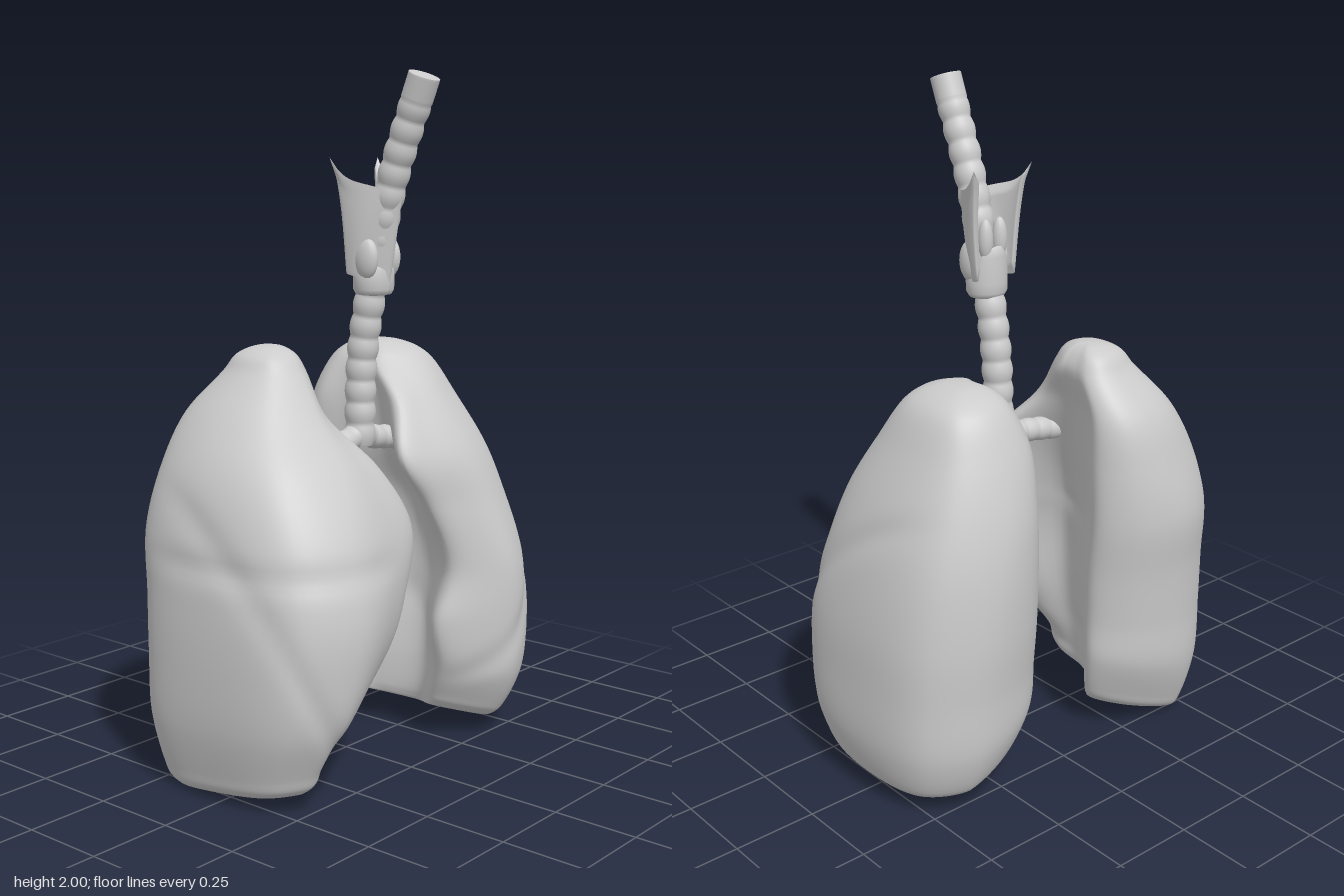
import * as THREE from 'three';

const V = (x, y, z) => new THREE.Vector3(x, y, z);
const { lerp, smoothstep } = THREE.MathUtils;
const material = new THREE.MeshStandardMaterial({ color: 0xcccccc, roughness: 0.7 });

function part(name, geometry) {
  const mesh = new THREE.Mesh(geometry, material);
  mesh.name = name;
  return mesh;
}

// Skin over closed rings of equal size, with faces turned outwards
function skin(rings) {
  const n = rings[0].length, pts = rings.flat(), index = [];
  for (let i = 0; i < rings.length - 1; i++)
    for (let j = 0; j < n; j++) {
      const k = (j + 1) % n, a = i * n + j, b = i * n + k, c = a + n, d = b + n;
      index.push(a, b, c, b, d, c);
    }
  const centre = pts.reduce((s, p) => s.add(p), V(0, 0, 0)).divideScalar(pts.length);
  let volume = 0;
  for (let i = 0; i < index.length; i += 3) {
    const [a, b, c] = [0, 1, 2].map(k => pts[index[i + k]].clone().sub(centre));
    volume += a.dot(b.cross(c));
  }
  if (volume < 0) index.reverse();
  const g = new THREE.BufferGeometry().setFromPoints(pts);
  g.setIndex(index);
  g.computeVertexNormals();
  return g;
}

// Tube along a curve with a varying radius and flat ends
function pipe(curve, steps, radius, sides = 28) {
  const frames = curve.computeFrenetFrames(steps);
  const rings = [];
  const ring = (i, r) => Array.from({ length: sides }, (_, j) => {
    const a = j / sides * Math.PI * 2;
    return curve.getPointAt(i / steps)
      .addScaledVector(frames.normals[i], Math.cos(a) * r)
      .addScaledVector(frames.binormals[i], Math.sin(a) * r);
  });
  rings.push(ring(0, 0), ring(0, radius(0) * 0.98));
  for (let i = 0; i <= steps; i++) rings.push(ring(i, radius(i / steps)));
  rings.push(ring(steps, radius(1) * 0.98), ring(steps, 0));
  return skin(rings);
}

// Horizontal lung section: rounded outside, hollow towards the middle
function section([y, xo, xf, zf, xi, zt, xr, xn, zb]) {
  const zc = (zf + zb) / 2;
  const corners = [
    V(xi, y, zt),
    V(lerp(xi, xf, 0.42), y, lerp(zt, zf, 0.68)),
    V(xf, y, zf),
    V(lerp(xf, xo, 0.76), y, lerp(zc, zf, 0.74)),
    V(xo, y, zc),
    V(lerp(xf, xo, 0.76), y, lerp(zc, zb, 0.74)),
    V(xf, y, zb),
    V(lerp(xr, xf, 0.3), y, lerp(zc, zb, 0.9)),
    V(xr, y, lerp(zc, zb, 0.62)),
    V(lerp(xr, xn, 0.65), y, lerp(zc, zb, 0.2)),
    V(xn, y, lerp(zc, zt, 0.35)),
  ];
  const curve = new THREE.CatmullRomCurve3(corners, true);
  return Array.from({ length: 88 }, (_, i) => curve.getPoint(i / 88));
}

function shrink(ring, s, y) {
  const c = ring.reduce((a, p) => a.add(p), V(0, 0, 0)).divideScalar(ring.length);
  return ring.map(p => V(lerp(c.x, p.x, s), y, lerp(c.z, p.z, s)));
}

function lung(name, side, { rows, top, base, mid, tilt, fissures }) {
  const rings = rows.map(section);
  const first = rings[0], last = rings[rings.length - 1];
  rings.unshift(shrink(first, 0, top), shrink(first, 0.38, top - 0.006), shrink(first, 0.74, top - 0.028));
  rings.push(shrink(last, 0.93, base + 0.018), shrink(last, 0.8, base), shrink(last, 0.45, base + 0.02), shrink(last, 0, base + 0.04));
  const columns = first.map((_, j) => new THREE.CatmullRomCurve3(rings.map(r => r[j])));
  const steps = 120, smooth = [];
  for (let i = 0; i <= steps; i++) {
    smooth.push(columns.map(c => {
      const p = c.getPoint(i / steps);
      // soft fissures pressed into the outer wall, fading towards the back
      const outside = smoothstep(p.x, 0.12, 0.3) * smoothstep(p.z, -0.3, -0.05);
      const inward = V(0.33 - p.x, 0, -p.z).normalize();
      for (const f of fissures) {
        const d = f(p) / 0.035;
        p.addScaledVector(inward, 0.008 * Math.exp(-d * d) * outside);
      }
      // base rises towards the middle of the body and the front
      const low = 1 - smoothstep(p.y, 0, 0.5);
      p.y += (0.35 * Math.max(0, mid - p.x) + tilt * Math.max(0, p.z + 0.15)) * low;
      p.x *= side;
      return p;
    }));
  }
  return part(name, skin(smooth));
}

// Rows: y, outer x, ridge x, front z, front edge x, front edge z, rear edge x, hollow x, back z
const leftLung = {
  top: 1.222, base: 0.045, mid: 0.4, tilt: 0,
  rows: [
    [1.16, 0.395, 0.285, 0.07, 0.155, -0.01, 0.16, 0.16, -0.24],
    [1.05, 0.45, 0.28, 0.15, 0.11, 0.1, 0.12, 0.155, -0.295],
    [0.9, 0.515, 0.3, 0.24, 0.05, 0.165, 0.12, 0.18, -0.34],
    [0.75, 0.56, 0.34, 0.29, 0.135, 0.2, 0.12, 0.25, -0.36],
    [0.55, 0.593, 0.38, 0.345, 0.205, 0.23, 0.115, 0.29, -0.362],
    [0.38, 0.6, 0.4, 0.352, 0.165, 0.21, 0.115, 0.29, -0.35],
    [0.2, 0.597, 0.4, 0.335, 0.19, 0.21, 0.12, 0.28, -0.338],
    [0.09, 0.57, 0.4, 0.285, 0.22, 0.17, 0.15, 0.28, -0.3],
  ],
  fissures: [p => (p.y - (0.8 - 0.75 * p.z + 1.3 * (p.x - 0.55))) * 0.6],
};
const rightLung = {
  top: 1.242, base: 0, mid: 0.45, tilt: 0.13,
  rows: [
    [1.17, 0.345, 0.23, 0.03, 0.145, -0.05, 0.14, 0.145, -0.22],
    [1.05, 0.45, 0.26, 0.12, 0.165, 0.05, 0.125, 0.18, -0.315],
    [0.9, 0.54, 0.3, 0.25, 0.085, 0.19, 0.12, 0.22, -0.36],
    [0.73, 0.585, 0.36, 0.34, 0.015, 0.25, 0.12, 0.27, -0.385],
    [0.55, 0.603, 0.38, 0.383, 0.075, 0.27, 0.125, 0.3, -0.367],
    [0.38, 0.606, 0.4, 0.375, 0.16, 0.27, 0.13, 0.31, -0.355],
    [0.2, 0.595, 0.42, 0.34, 0.27, 0.24, 0.13, 0.32, -0.345],
    [0.06, 0.565, 0.44, 0.27, 0.34, 0.17, 0.15, 0.33, -0.3],
  ],
  fissures: [
    p => p.y - 0.67,
    p => (p.y - (0.75 - 0.9 * p.z + 2 * (p.x - 0.58))) * 0.45,
  ],
};

function airway() {
  const group = new THREE.Group();
  group.name = 'airway';

  // Ringed windpipe, plain at the very top
  const path = new THREE.CatmullRomCurve3([
    V(0, 0.94, 0.05), V(0, 1.2, 0.06), V(0, 1.4, 0.095), V(0, 1.7, 0.168), V(0, 1.985, 0.278)]);
  const ringed = t => 0.04 + (t > 0.93 ? 0.005 : 0.006 * Math.abs(Math.sin(t * Math.PI * 17)));
  group.add(part('windpipe', pipe(path, 170, ringed)));

  // Main branches
  for (const s of [-1, 1]) {
    const branch = new THREE.CatmullRomCurve3([
      V(0, 0.975, 0.05), V(s * 0.06, 0.955, 0.05), V(s * 0.13, 0.945, 0.05), V(s * 0.23, 0.93, 0.045)]);
    group.add(part('bronchus', pipe(branch, 60, t => 0.033 + 0.003 * Math.abs(Math.sin(t * Math.PI * 5)))));
  }
  return group;
}

// Shield wall: open at the back, keel in front, rear corners drawn up into horns
function shieldWall() {
  const rings = [], n = 36, rows = 40;
  for (let r = 0; r <= rows; r++) {
    const v = r / rows, ring = [];
    const k = Math.min(1, v * 10, (1 - v) * 10);
    const point = (u, inner) => {
      const a = Math.abs(u);
      const width = lerp(0.068, 0.096, Math.pow(v, 0.8)) + 0.01 * a ** 6 * smoothstep(v, 0.8, 1);
      const top = 1.655 + 0.035 * Math.sin(Math.min(1, a * 1.6) * Math.PI / 2) + 0.075 * a ** 5;
      const z = lerp(lerp(0.158, 0.203, v), lerp(0.058, 0.028, v ** 3), a ** 1.25);
      const x = width * Math.sin(u * Math.PI / 2) + Math.sign(u) * 0.006 * Math.sin(a * 9 + v * 5) * Math.sin(Math.PI * v) * a * (1 - a);
      return V(x * (1 - 0.17 * inner), lerp(1.41 + 0.03 * a, top, v), z - 0.016 * inner * (1 - a));
    };
    for (let i = 0; i <= n; i++) ring.push(point(i / n * 2 - 1, 0));
    for (let i = n; i >= 0; i--) ring.push(point(i / n * 2 - 1, k));
    rings.push(ring);
  }
  return skin(rings);
}

function larynx() {
  const group = new THREE.Group();
  group.name = 'larynx';
  group.add(part('shieldCartilage', shieldWall()));

  // Ring below the shield, taller behind and rounded at the edges
  const profile = [[0.035, -0.045], [0.054, -0.042], [0.062, -0.028], [0.063, 0], [0.062, 0.028], [0.054, 0.042], [0.035, 0.045]];
  const ring = new THREE.LatheGeometry(profile.map(p => new THREE.Vector2(...p)), 32), rp = ring.attributes.position;
  for (let i = 0; i < rp.count; i++) {
    const y = rp.getY(i);
    rp.setY(i, y + Math.max(0, y) * Math.max(0, -rp.getZ(i)) * 30);
  }
  ring.scale(1, 1, 0.9);
  ring.computeVertexNormals();
  ring.translate(0, 1.423, 0.102);
  group.add(part('ringCartilage', ring));

  const blob = (name, x, y, z, sx, sy, sz) => {
    const m = part(name, new THREE.SphereGeometry(1, 20, 14));
    m.position.set(x, y, z);
    m.scale.set(sx, sy, sz);
    group.add(m);
  };
  for (const s of [-1, 1]) {
    // Side muscles and small rear cartilages
    blob('sideMuscle', s * 0.05, 1.485, 0.115, 0.024, 0.06, 0.04);
    blob('rearCartilage', s * 0.026, 1.55, 0.075, 0.022, 0.06, 0.022);
  }
  // Leaf-shaped lid
  blob('lid', 0, 1.63, 0.145, 0.045, 0.06, 0.035);
  return group;
}

export function createModel() {
  const model = new THREE.Group();
  model.name = 'lungsAndAirway';
  model.add(lung('leftLung', 1, leftLung), lung('rightLung', -1, rightLung), airway(), larynx());
  return model;
}
